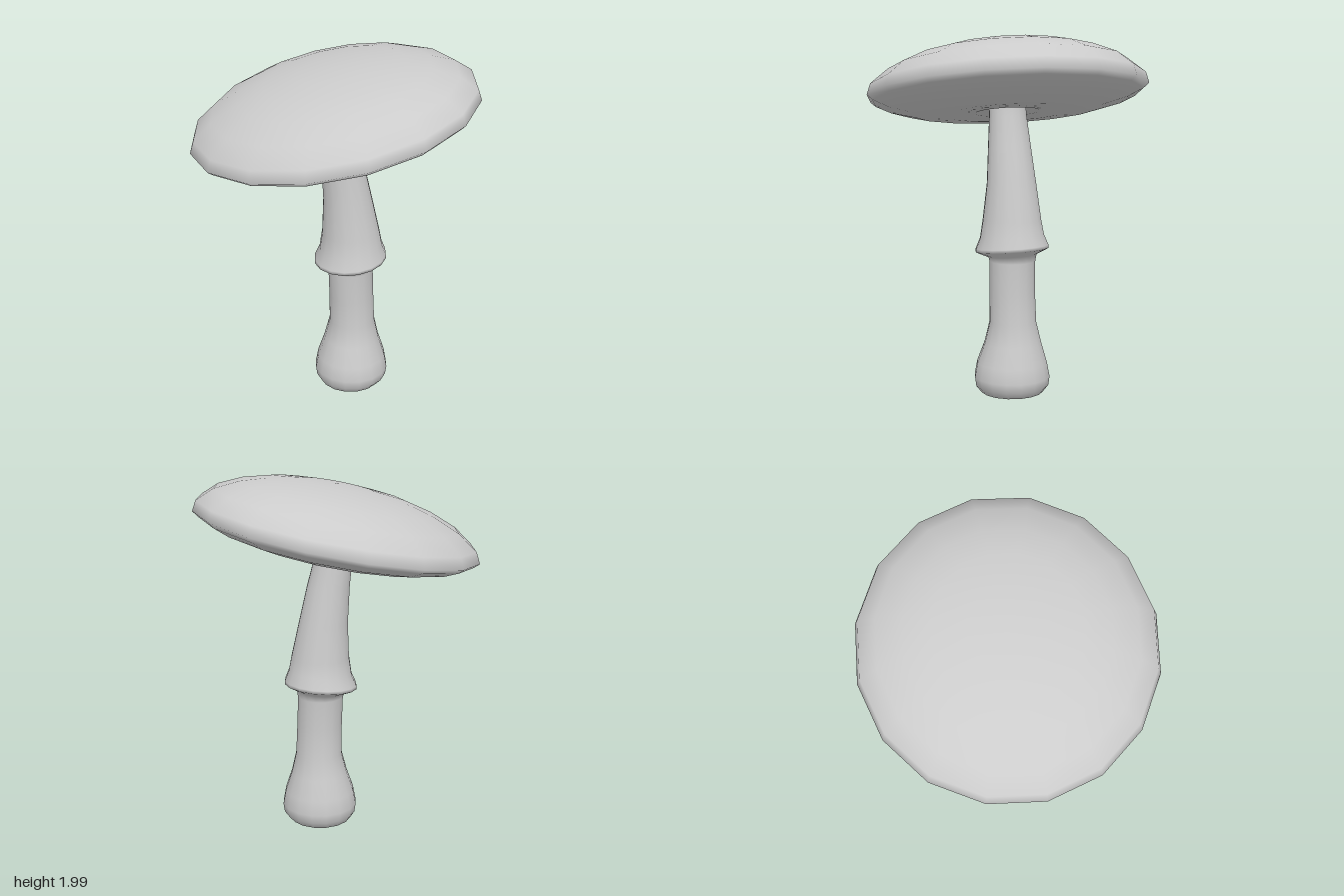
import * as THREE from 'three';
import { mergeVertices } from 'three/addons/utils/BufferGeometryUtils.js';

const SIDES = 16;

// Lathe a profile of [radius, y, cx, cz] rows (bottom to top), shift each ring, then shear it by a slope.
function leaningLathe(rows, slope) {
  const points = rows.map(([r, y]) => new THREE.Vector2(r, y));
  let geo = new THREE.LatheGeometry(points, SIDES);
  const pos = geo.attributes.position;
  for (let i = 0; i < pos.count; i++) {
    const [, , cx = 0, cz = 0] = rows[i % rows.length];
    const x = pos.getX(i), z = pos.getZ(i);
    const [sx, sz] = slope(pos.getY(i));
    pos.setXYZ(i, x + cx, pos.getY(i) + x * sx + z * sz, z + cz);
  }
  geo.deleteAttribute('uv');
  geo.deleteAttribute('normal');
  geo = mergeVertices(geo, 1e-4); // close the seam for smooth shading
  geo.computeVertexNormals();
  return geo;
}

export function createModel() {
  const group = new THREE.Group();
  const material = new THREE.MeshStandardMaterial({ color: 0xcccccc });
  const add = (name, geo) => {
    const mesh = new THREE.Mesh(geo, material);
    mesh.name = name;
    group.add(mesh);
    return mesh;
  };

  // Stem: bulbous foot, waist, flared skirt and a taper leaning towards -x
  add('stem', leaningLathe([
    [0, 0.005, 0.08, -0.04],
    [0.11, 0.01, 0.08, -0.04],
    [0.175, 0.03, 0.09, -0.04],
    [0.205, 0.07, 0.095, -0.04],
    [0.212, 0.12, 0.095, -0.04],
    [0.197, 0.2, 0.095, -0.04],
    [0.16, 0.31, 0.095, -0.045],
    [0.131, 0.43, 0.097, -0.045],
    [0.128, 0.6, 0.093, -0.04],
    [0.128, 0.77, 0.087, -0.04],
    [0.135, 0.8, 0.087, -0.04],
    [0.204, 0.832, 0.085, -0.038],
    [0.203, 0.85, 0.086, -0.038],
    [0.178, 0.91, 0.088, -0.038],
    [0.163, 1.0, 0.088, -0.038],
    [0.137, 1.2, 0.07, -0.033],
    [0.119, 1.4, 0.045, -0.018],
    [0.104, 1.57, 0.017, -0.005],
    [0.102, 1.66, 0.01, 0],
  ], (y) => (y > 0.78 && y < 0.95 ? [0.06, -0.07] : [0, 0])));

  // Cap: shallow underside, thin rim and a rounded dome, tilted down towards the front right
  const cap = add('cap', leaningLathe([
    [0, -0.07],
    [0.12, -0.075],
    [0.18, -0.1],
    [0.35, -0.105],
    [0.52, -0.095],
    [0.66, -0.06],
    [0.745, -0.02],
    [0.774, 0.005],
    [0.755, 0.065],
    [0.66, 0.142],
    [0.52, 0.204],
    [0.38, 0.242],
    [0.2, 0.266],
    [0, 0.275],
  ], () => [0.176, -0.077]));
  cap.position.y = 1.685;

  return group;
}
